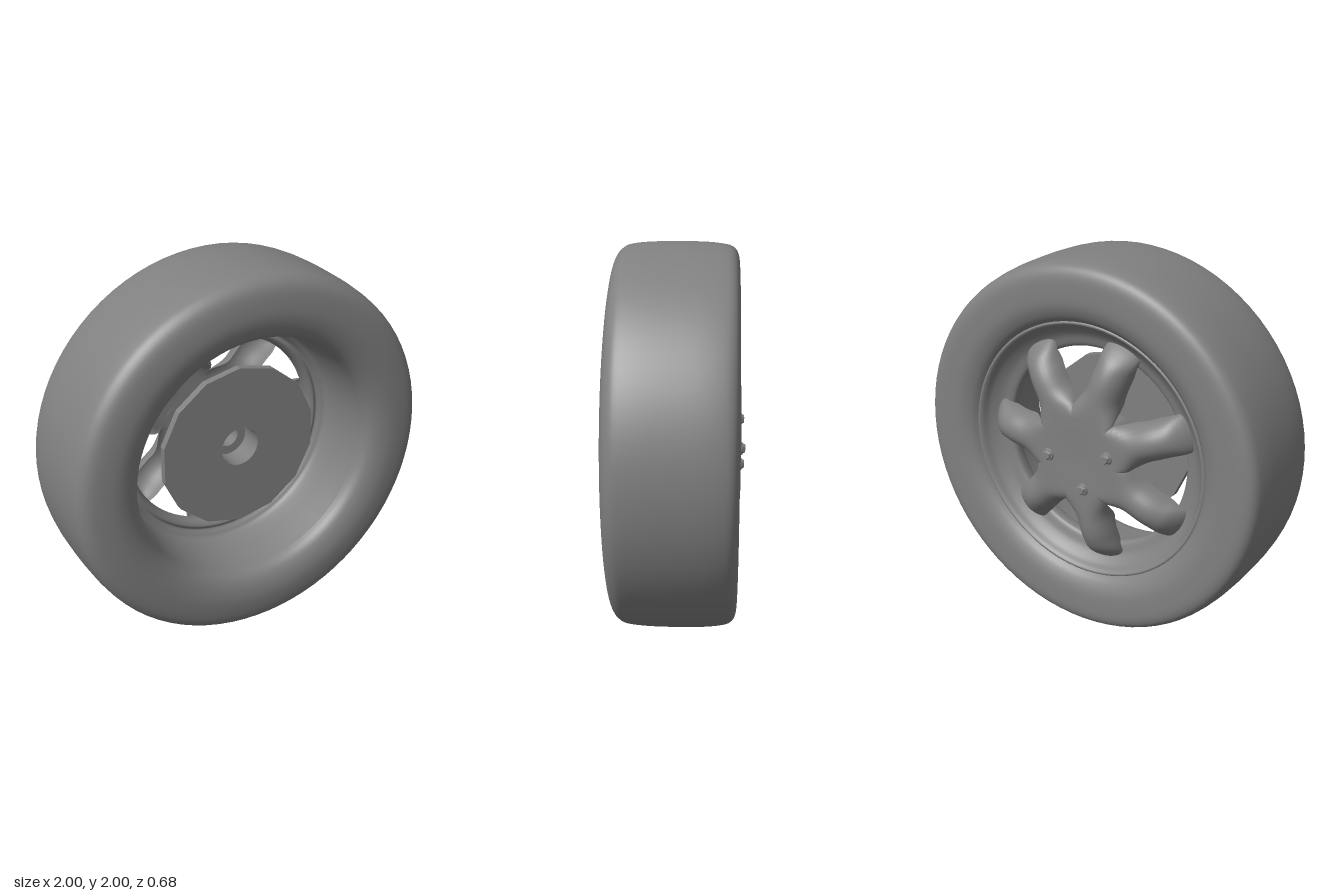
import * as THREE from 'three';
import { mergeGeometries, mergeVertices } from 'three/addons/utils/BufferGeometryUtils.js';

const SPOKES = 7, SPOKE_START = THREE.MathUtils.degToRad(5);
const COLOR = 0x808080;
const grey = new THREE.MeshStandardMaterial({ color: COLOR });
const greyDouble = new THREE.MeshStandardMaterial({ color: COLOR, side: THREE.DoubleSide });
const greyFlat = new THREE.MeshStandardMaterial({ color: COLOR, flatShading: true });

function part(name, geometry, material = grey) {
  const mesh = new THREE.Mesh(geometry, material);
  mesh.name = name;
  return mesh;
}

// Smooth curve through [radius, z] pairs
function curve(pairs) {
  return new THREE.SplineCurve(pairs.map(([r, z]) => new THREE.Vector2(r, z)));
}

// Turn a [radius, z] profile around the z axis
function turned(points, segments = 72) {
  return new THREE.LatheGeometry(points, segments).rotateX(Math.PI / 2);
}

// Open tube along z, from z0 to z1
function sleeve(radius, z0, z1) {
  return new THREE.CylinderGeometry(radius, radius, z1 - z0, 32, 1, true)
    .rotateX(Math.PI / 2).translate(0, 0, (z0 + z1) / 2);
}

// One sector of the wheel face: a slice of the hub flowing into a rounded spoke
function spokeSector(angle) {
  const top = curve([[0, -0.316], [0.2, -0.32], [0.35, -0.318], [0.45, -0.305],
    [0.53, -0.27], [0.585, -0.215], [0.625, -0.155]]);
  const half = Math.PI / SPOKES, tip = 0.28, rows = 44, cols = 16;
  const pos = [], index = [];
  for (let i = 0; i <= rows; i++) {
    const { x: r, y: z } = top.getPoint(i / rows);
    const fillet = Math.max(0, 1 - (r - tip) / 0.14) ** 2;
    const spread = r <= tip ? half : (0.102 + (half * tip - 0.102) * fillet) / r;
    const depth = 0.12 * THREE.MathUtils.smoothstep(r, 0.23, 0.37)
      - 0.06 * THREE.MathUtils.smoothstep(r, 0.48, 0.6);
    for (let j = 0; j <= cols; j++) {
      const u = (j / cols - 0.5) * Math.PI;
      const a = angle + spread * Math.sin(u);
      pos.push(r * Math.cos(a), r * Math.sin(a), z + depth * (1 - Math.cos(u)));
      if (i < rows && j < cols) {
        const p = i * (cols + 1) + j, q = p + cols + 1;
        index.push(p, p + 1, q, p + 1, q + 1, q);
      }
    }
  }
  const g = new THREE.BufferGeometry();
  g.setAttribute('position', new THREE.Float32BufferAttribute(pos, 3));
  g.setIndex(index);
  return g;
}

export function createModel() {
  const wheel = new THREE.Group();
  wheel.name = 'wheel';

  // Tyre: rounded sidewalls and a broad smooth tread
  const tyre = curve([[0.69, -0.245], [0.72, -0.275], [0.78, -0.3], [0.86, -0.305],
    [0.93, -0.3], [0.972, -0.275], [0.99, -0.22], [1, -0.1], [1, 0.1], [0.99, 0.23],
    [0.97, 0.285], [0.92, 0.32], [0.82, 0.335], [0.75, 0.327], [0.7, 0.305],
    [0.672, 0.275], [0.66, 0.24]]);
  wheel.add(part('tyre', turned(tyre.getPoints(70), 80)));

  // Rim: outer lip, dished ring, window edge, inner ridge, then the deep barrel
  const rim = curve([[0.695, -0.243], [0.682, -0.25], [0.667, -0.238], [0.645, -0.205],
    [0.6, -0.17], [0.548, -0.15], [0.535, -0.125], [0.542, -0.085], [0.565, -0.068],
    [0.585, -0.078], [0.605, -0.062], [0.628, -0.04], [0.64, 0.02], [0.65, 0.13], [0.662, 0.245]]);
  wheel.add(part('rim', turned(rim.getPoints(70)), greyDouble));

  // Hub face and spokes as one smooth surface
  const sectors = [];
  for (let i = 0; i < SPOKES; i++) {
    sectors.push(spokeSector(SPOKE_START + (i * 2 * Math.PI) / SPOKES));
  }
  const face = mergeVertices(mergeGeometries(sectors), 1e-4);
  face.computeVertexNormals();
  wheel.add(part('spokes', face, greyDouble));

  // Faceted brake disc with a round hole
  const outline = [];
  for (let i = 0; i < 14; i++) {
    const a = Math.PI / 2 + (i * Math.PI) / 7;
    outline.push(new THREE.Vector2(0.447 * Math.cos(a), 0.447 * Math.sin(a)));
  }
  const discShape = new THREE.Shape(outline);
  discShape.holes.push(new THREE.Path().absarc(0, 0, 0.107, 0, Math.PI * 2, true));
  const disc = new THREE.ExtrudeGeometry(discShape, { depth: 0.04, bevelEnabled: false, curveSegments: 24 });
  disc.translate(0, 0, 0.06);
  wheel.add(part('brakeDisc', disc, greyFlat));

  // Stepped axle socket between the disc and the wheel face
  wheel.add(part('axleSleeve', sleeve(0.107, -0.3, 0.1), greyDouble));
  wheel.add(part('axleSeat', new THREE.RingGeometry(0.06, 0.107, 32).translate(0, 0, -0.03), greyDouble));
  wheel.add(part('axleBore', sleeve(0.06, -0.1, -0.03), greyDouble));
  wheel.add(part('axleEnd', new THREE.CircleGeometry(0.06, 32).translate(0, 0, -0.1), greyDouble));

  // Three hexagonal wheel bolts on round flanges
  for (const degrees of [170, 260, 350]) {
    const a = THREE.MathUtils.degToRad(degrees);
    const bolt = new THREE.Group();
    bolt.name = 'wheelBolt';
    bolt.add(part('boltFlange', new THREE.CylinderGeometry(0.038, 0.031, 0.016, 16).rotateX(Math.PI / 2)));
    const head = part('boltHead', new THREE.CylinderGeometry(0.03, 0.02, 0.016, 6).rotateX(Math.PI / 2), greyFlat);
    head.position.z = -0.014;
    bolt.add(head);
    bolt.position.set(0.18 * Math.cos(a), 0.18 * Math.sin(a) + 0.008, -0.32);
    wheel.add(bolt);
  }

  wheel.position.y = 1;
  const model = new THREE.Group();
  model.name = 'carWheel';
  model.add(wheel);
  return model;
}
